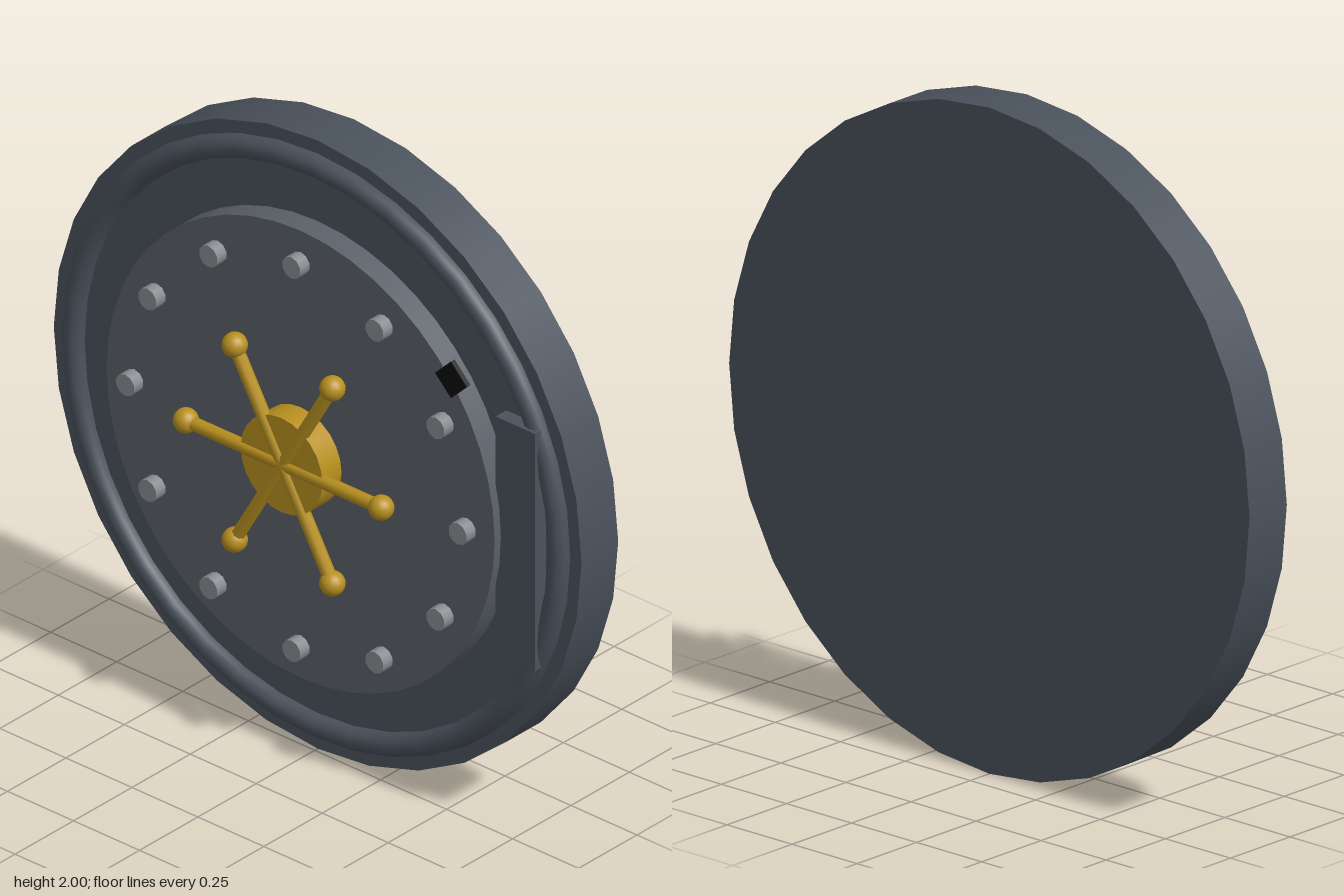
import * as THREE from 'three';

const mat = (color) => new THREE.MeshStandardMaterial({ color });

export function createModel() {
  const model = new THREE.Group();
  const door = new THREE.Group();
  door.name = 'vaultDoor';
  door.position.y = 1;
  model.add(door);

  const steel = mat(0x4a525c);
  const plate = mat(0x5a6168);
  const boltGrey = mat(0x888d92);
  const gold = mat(0xb8901f);
  const black = mat(0x0a0a0a);

  const add = (parent, name, geometry, material, x = 0, y = 0, z = 0) => {
    const mesh = new THREE.Mesh(geometry, material);
    mesh.name = name;
    mesh.position.set(x, y, z);
    parent.add(mesh);
    return mesh;
  };
  // Cylinder lying along z between two depths
  const disc = (radius, back, front, sides) =>
    new THREE.CylinderGeometry(radius, radius, front - back, sides)
      .rotateX(Math.PI / 2)
      .translate(0, 0, (back + front) / 2);

  // Door slab, raised rim and front panel
  add(door, 'doorSlab', disc(1, -0.17, -0.013, 32), steel);
  add(door, 'rimRing', new THREE.TorusGeometry(0.92, 0.037, 12, 40), steel, 0, 0, -0.013);
  add(door, 'frontPanel', disc(0.735, -0.02, 0.06, 48), plate);

  // Hinge plate on the model's left, and the small lock diamond
  add(door, 'hingePlate', new THREE.BoxGeometry(0.15, 0.78, 0.1), steel, 0.79, 0, -0.017);
  add(door, 'lockDiamond', new THREE.BoxGeometry(0.085, 0.085, 0.016), black, 0.58, 0.475, 0.064)
    .rotation.z = Math.PI / 4;

  // Ring of bolts
  const bolts = new THREE.Group();
  bolts.name = 'bolts';
  door.add(bolts);
  const boltGeometry = disc(0.035, 0.05, 0.1, 10);
  for (let i = 0; i < 12; i++) {
    const a = (i / 12) * Math.PI * 2;
    add(bolts, 'bolt', boltGeometry, boltGrey, 0.63 * Math.cos(a), 0.63 * Math.sin(a));
  }

  // Handwheel: hub with six ball-ended spokes
  const wheel = new THREE.Group();
  wheel.name = 'handwheel';
  door.add(wheel);
  add(wheel, 'hub', disc(0.155, 0.05, 0.142, 24), gold);
  const spokeGeometry = new THREE.CylinderGeometry(0.021, 0.021, 0.37, 8)
    .rotateZ(-Math.PI / 2)
    .translate(0.185, 0, 0);
  const ballGeometry = new THREE.SphereGeometry(0.038, 16, 12);
  for (let i = 0; i < 6; i++) {
    const a = (i / 6) * Math.PI * 2;
    add(wheel, 'spoke', spokeGeometry, gold, 0, 0, 0.133).rotation.z = a;
    add(wheel, 'spokeBall', ballGeometry, gold, 0.37 * Math.cos(a), 0.37 * Math.sin(a), 0.133);
  }

  return model;
}
